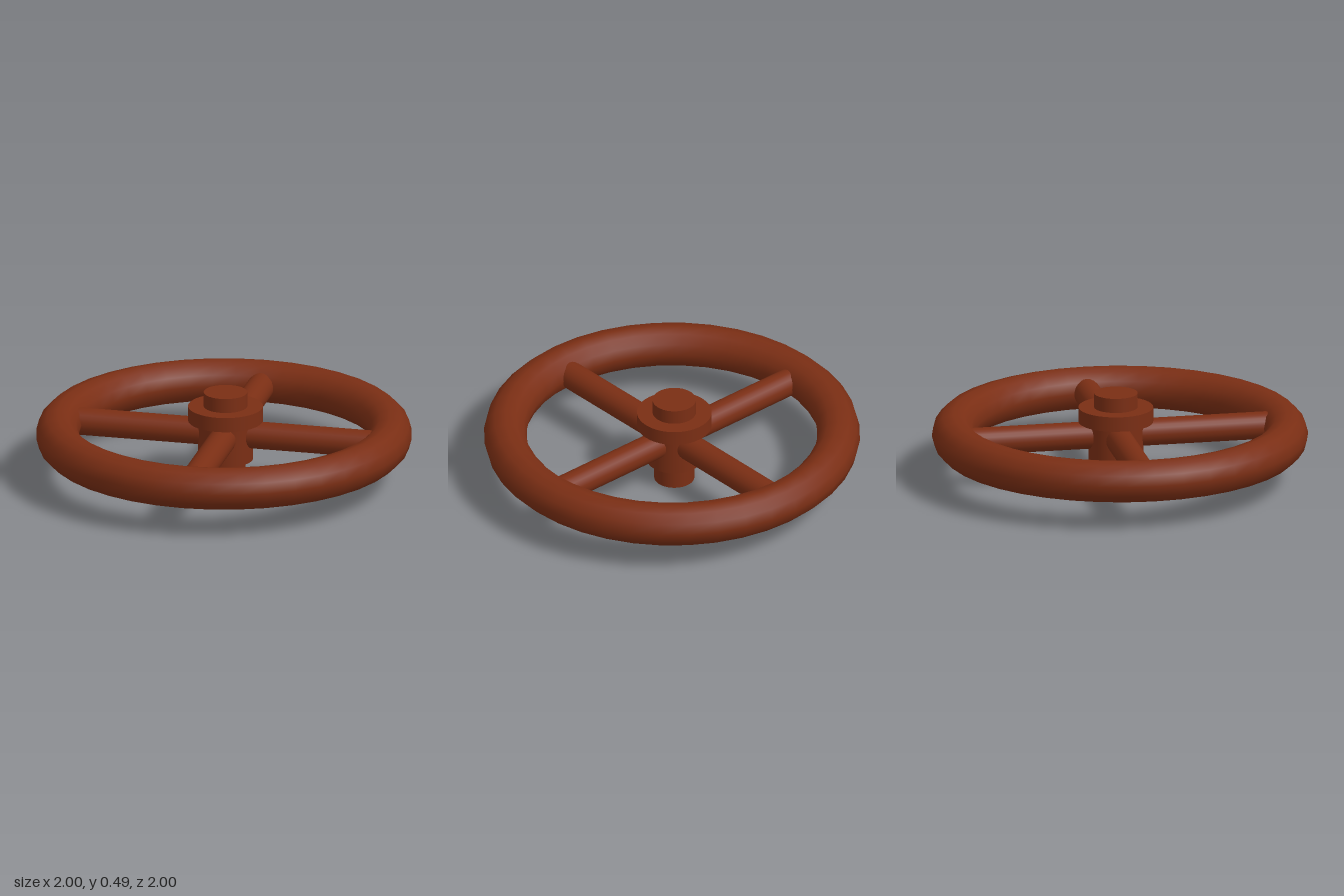
import * as THREE from 'three';

export function createModel() {
  const wheel = new THREE.Group();
  wheel.name = 'handwheel';
  const paint = new THREE.MeshStandardMaterial({ color: 0x7a2e14 });
  const rimY = 0.259;
  const hubX = 0.003, hubZ = -0.022;

  const add = (name, geometry, x, y, z) => {
    const mesh = new THREE.Mesh(geometry, paint);
    mesh.name = name;
    mesh.position.set(x, y, z);
    wheel.add(mesh);
    return mesh;
  };

  // Round rim lying flat
  const rim = new THREE.TorusGeometry(0.886, 0.114, 12, 40);
  rim.rotateX(Math.PI / 2);
  add('rim', rim, 0, rimY, 0);

  // Stepped hub, stacked along the axle: name, radius, bottom, top
  const hubParts = [
    ['lowerShaft', 0.107, 0, 0.125],
    ['hubBarrel', 0.146, 0.115, 0.34],
    ['flange', 0.199, 0.33, 0.41],
    ['topCap', 0.116, 0.4, 0.488],
  ];
  for (const [name, radius, bottom, top] of hubParts) {
    add(name, new THREE.CylinderGeometry(radius, radius, top - bottom, 40),
      hubX, (bottom + top) / 2, hubZ);
  }

  // Four spokes, from inside the hub to inside the rim
  const spokeEnds = [[0.87, -0.025], [-0.87, -0.025], [0.02, 0.87], [0.01, -0.87]];
  const up = new THREE.Vector3(0, 1, 0);
  for (const [x, z] of spokeEnds) {
    const start = new THREE.Vector3(Math.abs(z) > 0.5 ? 0.014 : hubX, rimY, Math.abs(x) > 0.5 ? -0.025 : hubZ);
    const end = new THREE.Vector3(x, rimY, z);
    const along = end.clone().sub(start);
    const mid = start.clone().add(end).multiplyScalar(0.5);
    const spoke = add('spoke', new THREE.CylinderGeometry(0.073, 0.073, along.length(), 24), mid.x, mid.y, mid.z);
    spoke.quaternion.setFromUnitVectors(up, along.normalize());
  }

  return wheel;
}
